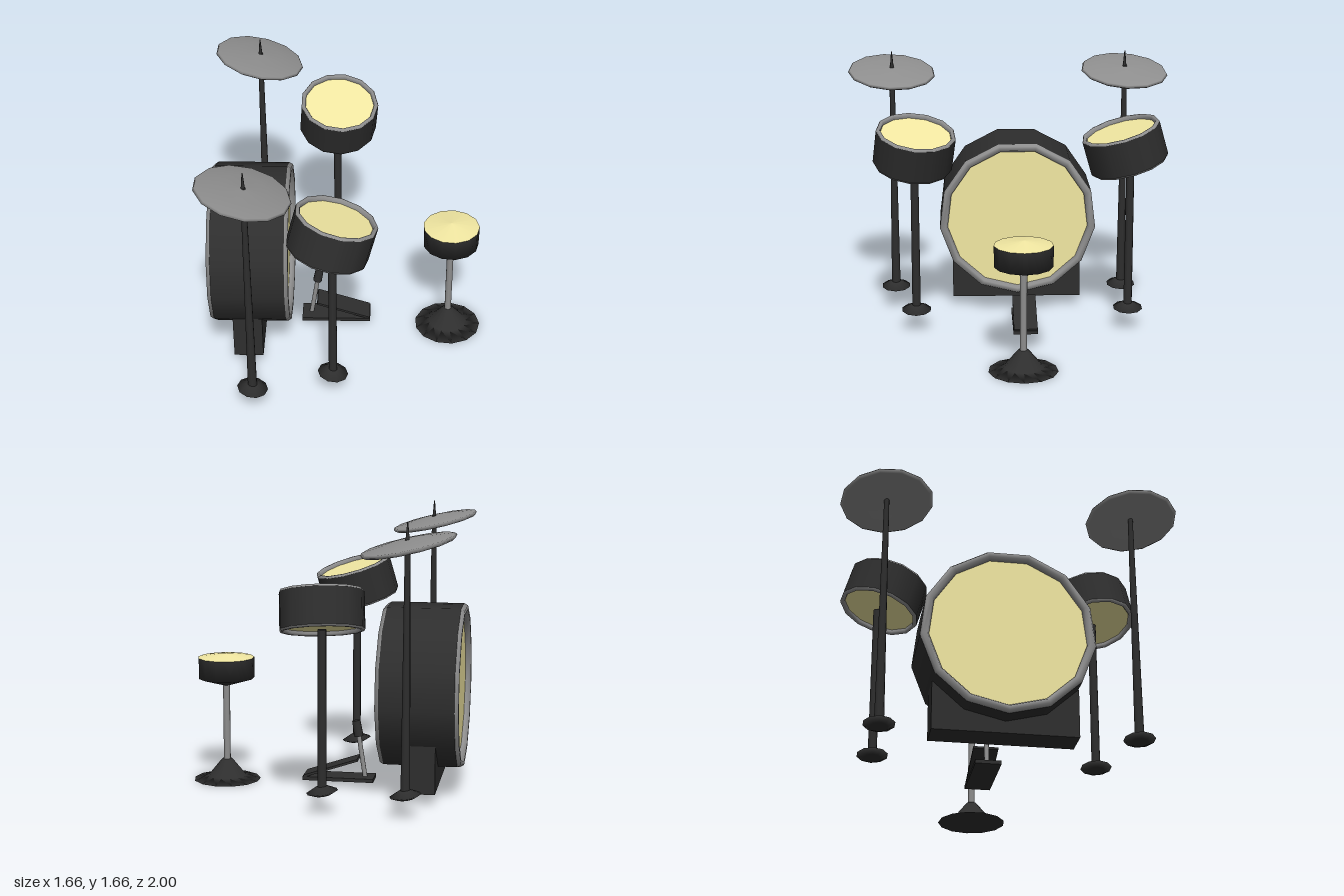
import * as THREE from 'three';

const mat = (color) => new THREE.MeshStandardMaterial({ color, side: THREE.DoubleSide });
const DARK = mat(0x2e2e2e), SKIN = mat(0xf2e8a2), METAL = mat(0x8e8e8e);
const UP = new THREE.Vector3(0, 1, 0);

function mesh(name, geometry, material, x = 0, y = 0, z = 0) {
  const m = new THREE.Mesh(geometry, material);
  m.name = name;
  m.position.set(x, y, z);
  return m;
}

// Turned part; profile runs counter-clockwise as [radius, height]
function lathe(profile, sides = 13) {
  return new THREE.LatheGeometry(profile.map(([r, y]) => new THREE.Vector2(r, y)), sides, Math.PI / 2);
}

// Round bar between two points
function bar(name, a, b, r0, r1, material) {
  const from = new THREE.Vector3(...a), to = new THREE.Vector3(...b);
  const dir = to.clone().sub(from);
  const m = mesh(name, new THREE.CylinderGeometry(r1, r0, dir.length(), 10), material);
  m.position.copy(from).add(to).multiplyScalar(0.5);
  m.quaternion.setFromUnitVectors(UP, dir.normalize());
  return m;
}

// Shell with a rounded hoop and a flat, slightly sunken skin at both ends
function drum(name, radius, height, hoop, recess, axis, position) {
  const g = new THREE.Group();
  g.name = name;
  const h = height / 2, inner = radius - hoop, lip = hoop * 0.45;
  g.add(mesh('shell', lathe([[radius, -h + lip], [radius, h - lip]]), DARK));
  const ring = [[radius, h - lip], [radius - hoop * 0.25, h], [inner + hoop * 0.25, h], [inner, h - lip], [inner, h - recess]];
  const skin = [[inner, h - recess], [0, h - recess]];
  for (const s of [1, -1]) {
    const place = (p) => {
      const q = p.map(([r, y]) => [r, y * s]);
      return s > 0 ? q : q.reverse();
    };
    g.add(mesh('hoop', lathe(place(ring)), METAL));
    g.add(mesh('drumSkin', lathe(place(skin)), SKIN));
  }
  g.quaternion.setFromUnitVectors(UP, new THREE.Vector3(...axis).normalize());
  g.position.set(...position);
  return g;
}

// Pole on a small, slightly tilted lens-shaped foot
function stand(name, x, z, top, r0, r1) {
  const g = new THREE.Group();
  g.name = name;
  const profile = [[0, -0.022], [0.05, -0.02], [0.092, 0], [0.035, 0.03], [0, 0.033]];
  const foot = mesh('foot', lathe(profile, 10), DARK, x, 0.132, z);
  foot.rotation.z = -0.14;
  g.add(foot, bar('pole', [x, 0.13, z], [x, top, z], r0, r1, DARK));
  return g;
}

function cymbal(z) {
  const g = new THREE.Group();
  g.name = 'cymbalWithStand';
  const x = -0.558;
  const disc = [[0, -0.014], [0.14, -0.022], [0.255, -0.038], [0.273, -0.027], [0.264, -0.014], [0.14, 0], [0, 0.008]];
  const plate = mesh('cymbal', lathe(disc), METAL, x, 1.56, z);
  plate.rotation.set(-0.06, 0, -0.22);
  g.add(plate, stand('cymbalStand', x, z, 1.57, 0.028, 0.015));
  g.add(bar('spike', [x, 1.55, z], [x, 1.665, z], 0.013, 0.003, DARK));
  return g;
}

function pedal() {
  const g = new THREE.Group();
  g.name = 'footPedal';
  const z = -0.085;
  g.add(mesh('basePlate', new THREE.BoxGeometry(0.43, 0.022, 0.15), DARK, -0.08, 0.05, z));
  const tread = mesh('tread', new THREE.BoxGeometry(0.345, 0.014, 0.145), DARK, -0.036, 0.118, z);
  tread.rotation.z = -0.325;
  g.add(tread);
  g.add(bar('beaterRod', [-0.238, 0.055, z], [-0.197, 0.32, z], 0.014, 0.014, METAL));
  g.add(bar('beaterHead', [-0.199, 0.308, z], [-0.182, 0.404, z], 0.028, 0.025, DARK));
  return g;
}

function stool() {
  const g = new THREE.Group();
  g.name = 'stool';
  const base = [[0, 0], [0.205, 0], [0.115, 0.024], [0.032, 0.125], [0, 0.128]];
  g.add(mesh('stoolBase', lathe(base), DARK));
  g.add(bar('stoolPole', [0, 0.11, 0], [0, 0.61, 0], 0.021, 0.021, METAL));
  g.add(mesh('seatSide', lathe([[0, 0.59], [0.03, 0.59], [0.17, 0.633], [0.172, 0.76]]), DARK));
  g.add(mesh('seatCushion', lathe([[0.172, 0.76], [0, 0.786]]), SKIN));
  g.position.set(0.625, 0, -0.05);
  return g;
}

export function createModel() {
  const model = new THREE.Group();
  model.name = 'drumKit';

  // Bass drum on its block
  model.add(drum('bassDrum', 0.495, 0.48, 0.05, 0.035, [1, 0, 0], [-0.592, 0.629, -0.052]));
  model.add(mesh('bassDrumBlock', new THREE.BoxGeometry(0.178, 0.285, 0.82), DARK, -0.608, 0.2075, -0.05));

  // Two tilted toms on stands
  model.add(drum('leftTom', 0.242, 0.232, 0.026, 0.025, [0.27, 1, -0.13], [-0.086, 1.157, 0.583]));
  model.add(drum('rightTom', 0.242, 0.232, 0.026, 0.025, [0.07, 1, 0.29], [-0.077, 1.16, -0.69]));
  model.add(stand('leftTomStand', -0.085, 0.585, 1.06, 0.026, 0.024));
  model.add(stand('rightTomStand', -0.085, -0.727, 1.06, 0.026, 0.024));

  // Cymbals either side of the bass drum
  for (const z of [0.73, -0.73]) model.add(cymbal(z));

  model.add(pedal(), stool());
  return model;
}
